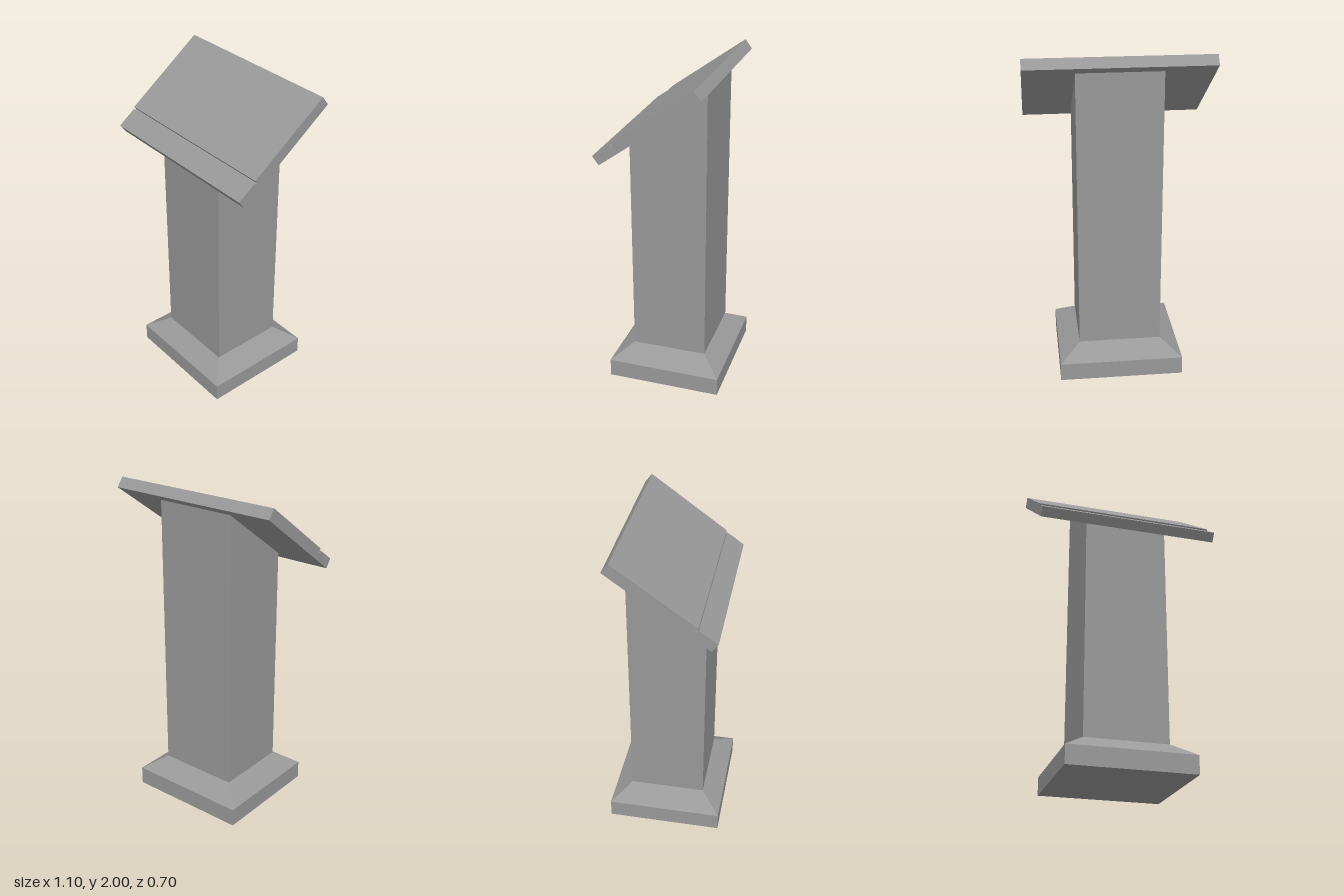
import * as THREE from 'three';

// Side profile of [z, y] points, extruded across x and centred
function acrossX(points, width) {
  const shape = new THREE.Shape(points.map(([z, y]) => new THREE.Vector2(z, y)));
  const geo = new THREE.ExtrudeGeometry(shape, { depth: width, bevelEnabled: false });
  return geo.rotateY(-Math.PI / 2).translate(width / 2, 0, 0);
}

export function createModel() {
  const group = new THREE.Group();
  const grey = new THREE.MeshStandardMaterial({ color: 0x999999, flatShading: true });
  grey.name = 'grey';
  const add = (name, geo) => {
    const mesh = new THREE.Mesh(geo, grey);
    mesh.name = name;
    group.add(mesh);
  };

  // Plinth: square slab with a sloped shoulder up to the column
  const baseW = 0.76, baseD = 0.704, colW = 0.506, colD = 0.464;
  add('baseSlab', new THREE.BoxGeometry(baseW, 0.112, baseD).translate(0, 0.056, 0));
  const shoulder = new THREE.BoxGeometry(baseW, 0.085, baseD).translate(0, 0.1545, 0);
  const p = shoulder.attributes.position;
  for (let i = 0; i < p.count; i++) {
    if (p.getY(i) > 0.15) {
      p.setX(i, Math.sign(p.getX(i)) * colW / 2);
      p.setZ(i, Math.sign(p.getZ(i)) * colD / 2);
    }
  }
  shoulder.computeVertexNormals();
  add('baseShoulder', shoulder);

  // Column with its top cut to the slope of the desk
  const h = colD / 2;
  add('column', acrossX([[h, 0.19], [h, 1.578], [-h, 1.912], [-h, 0.19]], colW));

  // Sloped desk: front strip, narrow groove, then the raised reading board
  add('readingDesk', acrossX([
    [0.3, 1.525], [0.337, 1.575], [0.23, 1.651], [0.221, 1.639],
    [0.212, 1.644], [0.227, 1.664], [-0.241, 2], [-0.283, 1.945],
  ], 1.1));

  return group;
}
